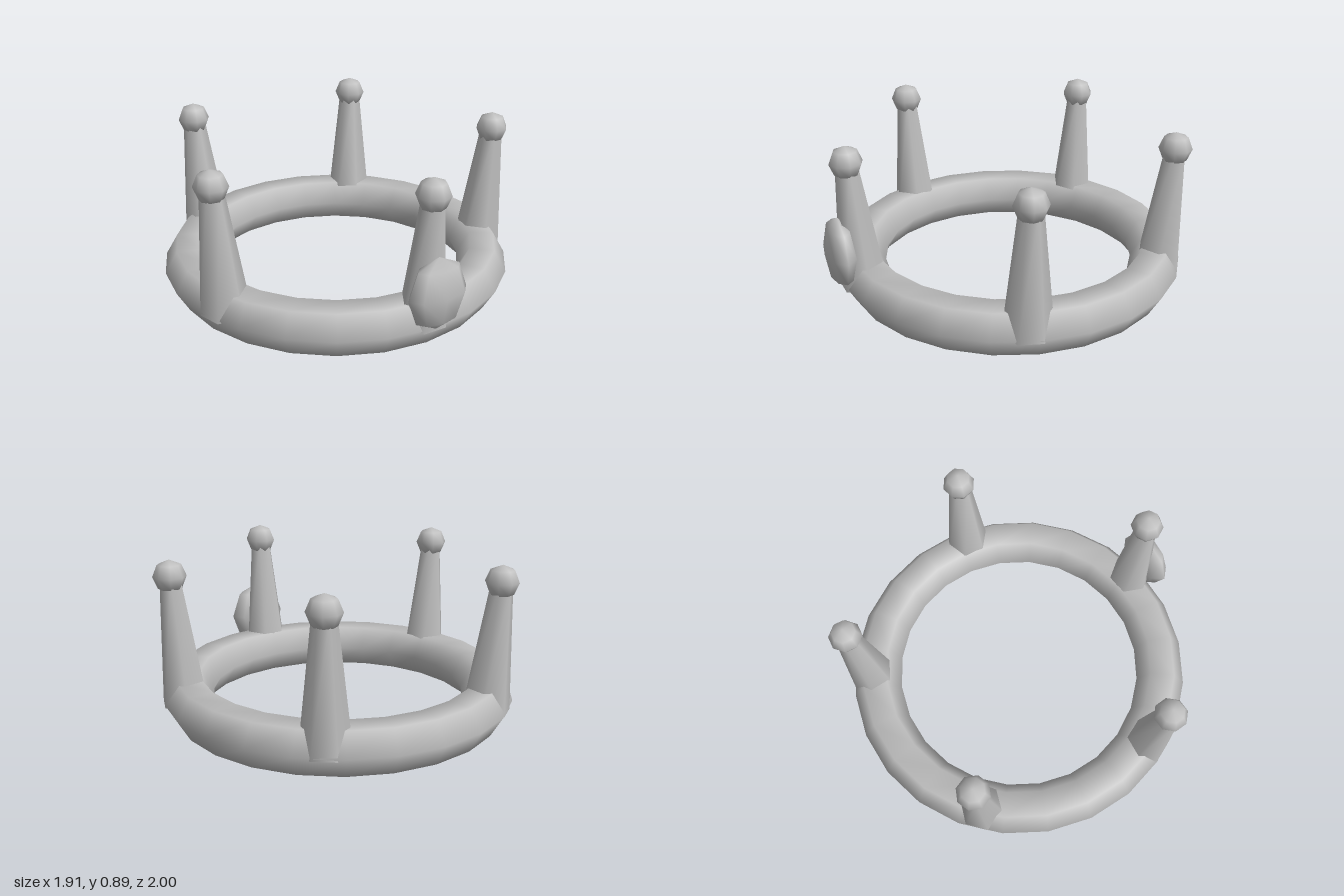
import * as THREE from 'three';

export function createModel() {
  const crown = new THREE.Group();
  crown.name = 'crown';
  const grey = new THREE.MeshStandardMaterial({ color: 0xbfbfbf });
  grey.name = 'grey metal';

  const add = (parent, name, geometry, x, y, z) => {
    const mesh = new THREE.Mesh(geometry, grey);
    mesh.name = name;
    mesh.position.set(x, y, z);
    parent.add(mesh);
    return mesh;
  };

  // Band: a ring with a hexagonal section, set slightly back
  const ringZ = -0.043;
  const ringGeo = new THREE.TorusGeometry(0.822, 0.135, 6, 24).rotateX(Math.PI / 2);
  add(crown, 'band', ringGeo, 0, 0.117, ringZ);

  // Five hexagonal spikes leaning outward, each tipped with a ball
  const base = new THREE.Vector3(0, 0.11, 0.84);
  const tip = new THREE.Vector3(0, 0.8, 0.89);
  const axis = tip.clone().sub(base);
  const spikeGeo = new THREE.CylinderGeometry(0.058, 0.13, axis.length(), 6, 1, false, Math.PI / 6);
  const ballGeo = new THREE.SphereGeometry(0.088, 8, 4);
  const lean = Math.atan2(axis.z, axis.y);
  for (let i = 0; i < 5; i++) {
    const point = new THREE.Group();
    point.name = 'point' + (i + 1);
    point.position.z = ringZ + 0.006;
    point.rotation.y = (i * Math.PI * 2) / 5;
    const mid = base.clone().add(tip).multiplyScalar(0.5);
    add(point, 'spike', spikeGeo, mid.x, mid.y, mid.z).rotation.x = lean;
    add(point, 'ball', ballGeo, tip.x, tip.y, tip.z);
    crown.add(point);
  }

  // Oval gem on the front
  const gemGeo = new THREE.SphereGeometry(1, 8, 4).scale(0.17, 0.195, 0.08);
  add(crown, 'gem', gemGeo, 0, 0.312, 0.919);

  return crown;
}
